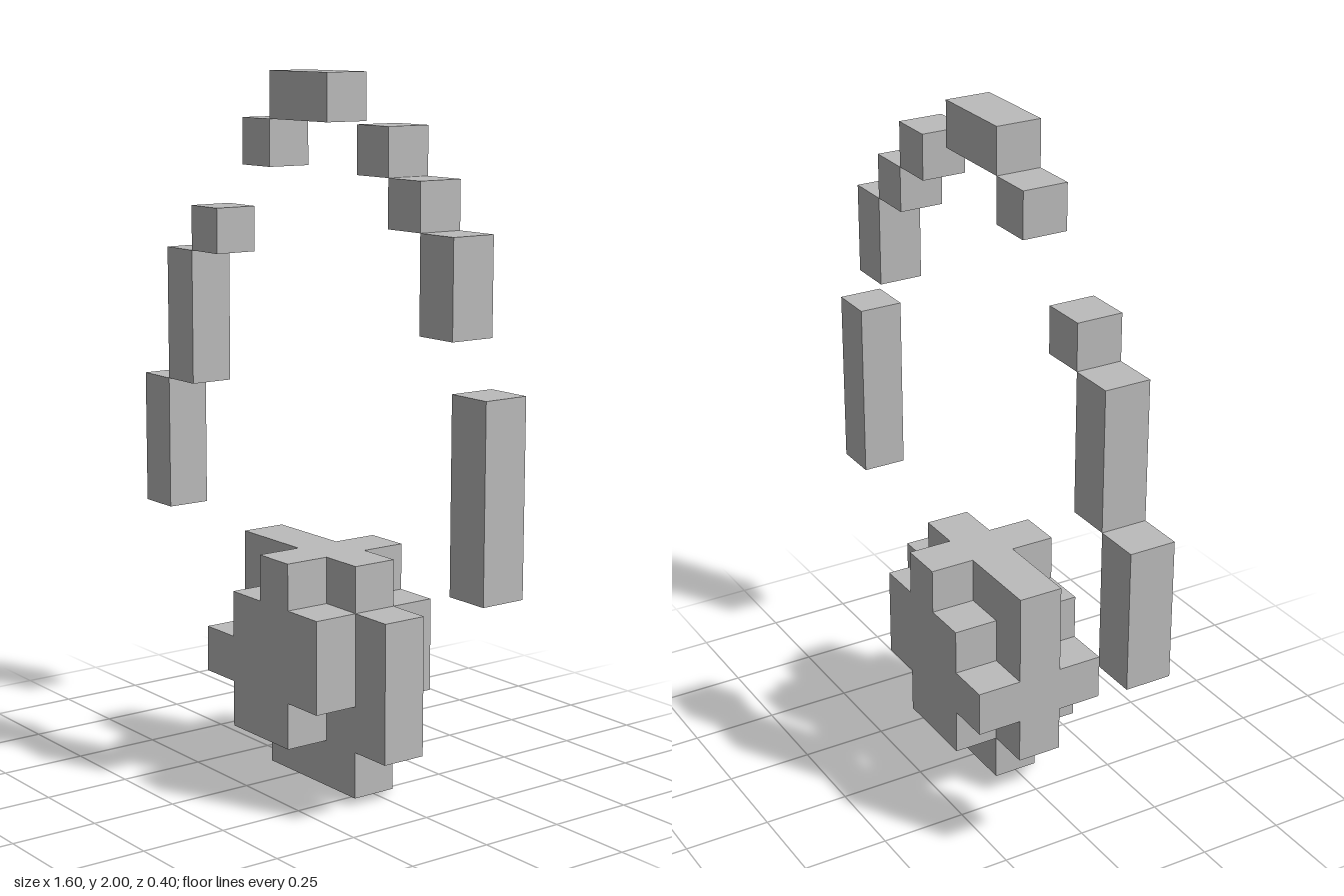
import * as THREE from 'three';

const U = 2 / 15; // edge of one block

export function createModel() {
  const group = new THREE.Group();
  const grey = new THREE.MeshStandardMaterial({ color: 0xbcbcbc });
  grey.name = 'light grey';

  // One-block-thick slab with a stepped outline, centred on layer z
  function slab(name, outline, z) {
    const shape = new THREE.Shape(outline.map(([x, y]) => new THREE.Vector2(x * U, y * U)));
    const geometry = new THREE.ExtrudeGeometry(shape, { depth: U, bevelEnabled: false });
    const mesh = new THREE.Mesh(geometry, grey);
    mesh.name = name;
    mesh.position.z = (z - 0.5) * U;
    group.add(mesh);
  }

  // Broken arch: x start, y start, width, height in blocks
  const arch = [
    [-6, 5, 1, 3], [-5, 8, 1, 3], [-4, 11, 1, 1], [-2, 13, 1, 1], [-1, 14, 2, 1],
    [2, 13, 1, 1], [3, 12, 1, 1], [4, 10, 1, 2], [5, 5, 1, 4],
  ];
  arch.forEach(([x, y, w, h], i) => {
    const mesh = new THREE.Mesh(new THREE.BoxGeometry(w * U, h * U, U), grey);
    mesh.name = `archSegment${i + 1}`;
    mesh.position.set((x + w / 2) * U, (y + h / 2) * U, 0);
    group.add(mesh);
  });

  // Hanging cluster: wide core between two matching outer layers
  slab('clusterCore', [
    [-1, 0], [2, 0], [2, 1], [3, 1], [3, 4], [2, 4], [2, 5], [-2, 5], [-2, 1], [-1, 1],
  ], 0);
  const outer = [
    [-1, 1], [1, 1], [1, 2], [2, 2], [2, 4], [1, 4], [1, 5], [0, 5],
    [0, 4], [-1, 4], [-1, 3], [-2, 3], [-2, 2], [-1, 2],
  ];
  slab('clusterFront', outer, 1);
  slab('clusterBack', outer, -1);

  return group;
}
